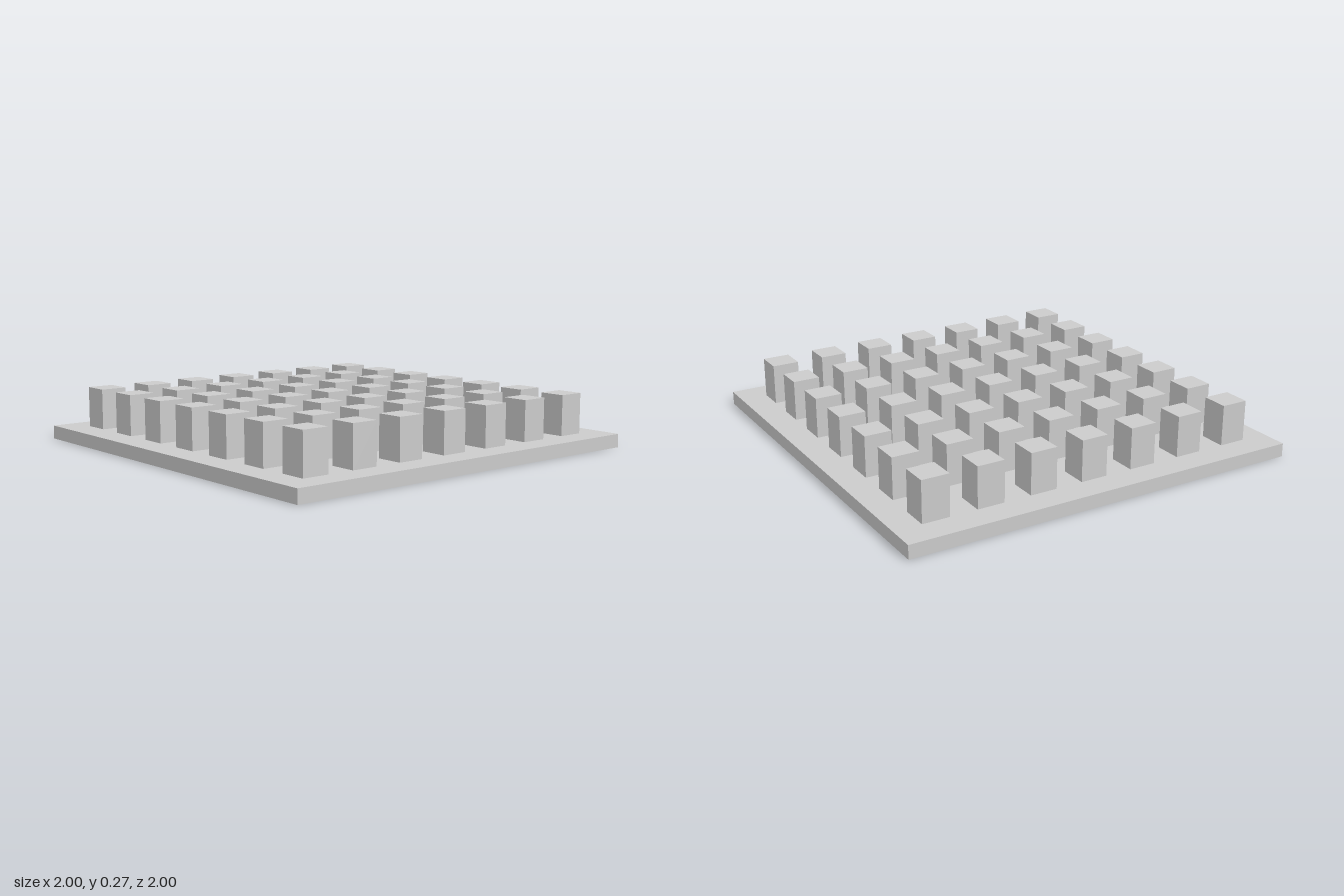
import * as THREE from 'three';

const U = 1 / 15; // module size: all dimensions are multiples of it
const COUNT = 7; // pins per row
const PITCH = 4 * U;

export function createModel() {
  const model = new THREE.Group();
  model.name = 'pinGridPlate';
  const material = new THREE.MeshStandardMaterial({ color: 0xcccccc });

  // Square base plate
  const base = new THREE.Mesh(new THREE.BoxGeometry(30 * U, U, 30 * U), material);
  base.name = 'basePlate';
  base.position.y = U / 2;
  model.add(base);

  // Grid of square pins standing on the plate
  const pins = new THREE.Group();
  pins.name = 'pins';
  const pinGeometry = new THREE.BoxGeometry(2 * U, 3 * U, 2 * U);
  const offset = (COUNT - 1) / 2;
  for (let row = 0; row < COUNT; row++) {
    for (let col = 0; col < COUNT; col++) {
      const pin = new THREE.Mesh(pinGeometry, material);
      pin.name = `pin_row${row + 1}_column${col + 1}`;
      pin.position.set((col - offset) * PITCH, 2.5 * U, (row - offset) * PITCH);
      pins.add(pin);
    }
  }
  model.add(pins);

  return model;
}
